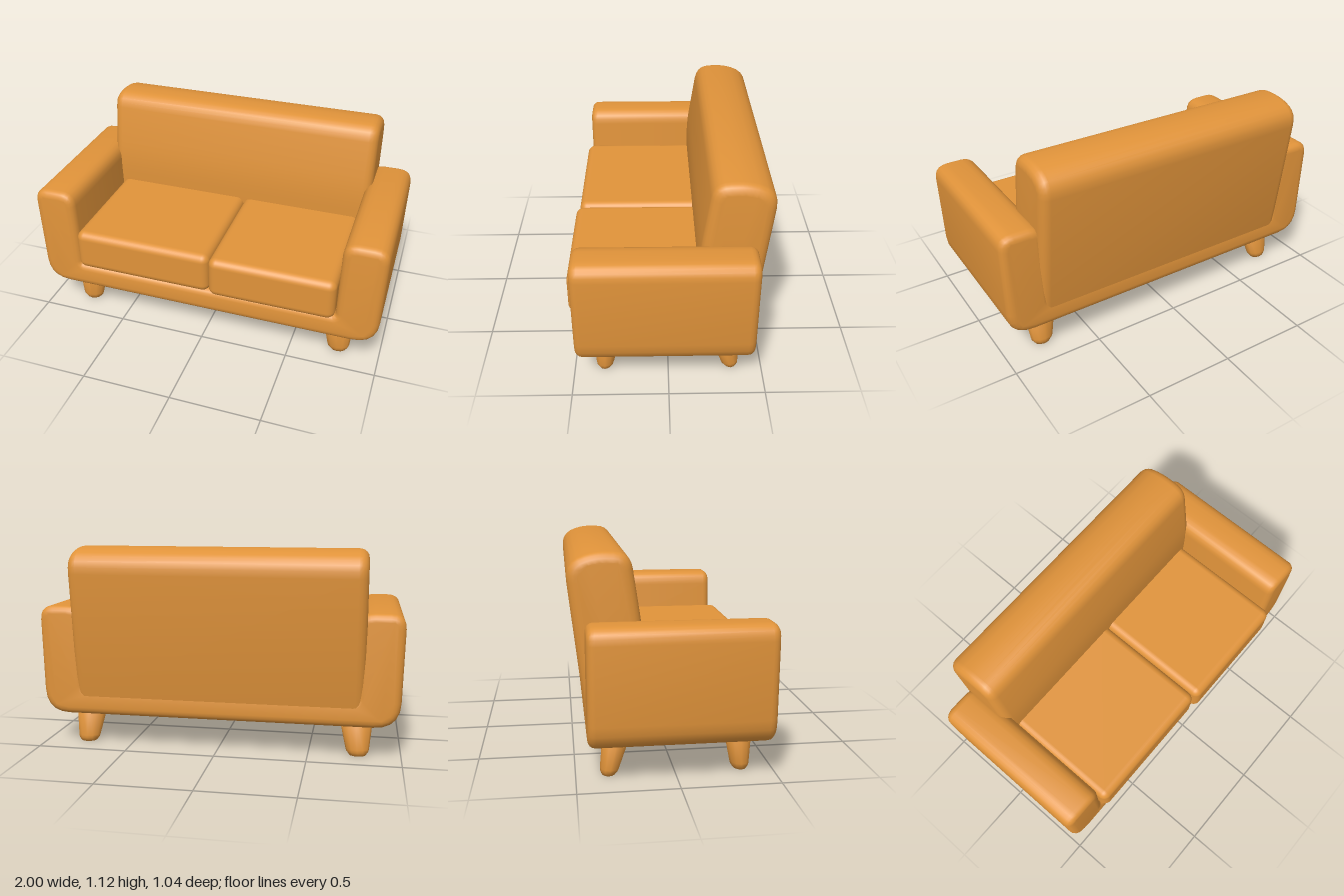
import * as THREE from 'three';
import { mergeVertices, toCreasedNormals } from 'three/addons/utils/BufferGeometryUtils.js';
import { RoundedBoxGeometry } from 'three/addons/geometries/RoundedBoxGeometry.js';

// Closed shape from [x, y, cornerCut] points with softened corners
function softShape(points) {
  const shape = new THREE.Shape();
  const n = points.length;
  points.forEach(([x, y, r], i) => {
    const p = new THREE.Vector2(x, y);
    const toward = (q) => p.clone().add(new THREE.Vector2(q[0] - x, q[1] - y).setLength(r));
    const a = toward(points[(i + n - 1) % n]);
    const b = toward(points[(i + 1) % n]);
    if (i === 0) shape.moveTo(a.x, a.y);
    else shape.lineTo(a.x, a.y);
    shape.quadraticCurveTo(x, y, b.x, b.y);
  });
  shape.closePath();
  return shape;
}

// Extrusion of full length `length`, centred on z, with rounded ends
function softExtrude(shape, length, bevel) {
  const g = new THREE.ExtrudeGeometry(shape, {
    depth: length - 2 * bevel, curveSegments: 5, bevelEnabled: true,
    bevelThickness: bevel, bevelSize: bevel, bevelOffset: -bevel, bevelSegments: 4,
  });
  g.translate(0, 0, -length / 2 + bevel);
  g.deleteAttribute('normal');
  g.deleteAttribute('uv');
  return toCreasedNormals(mergeVertices(g, 1e-4), 0.7);
}

export function createModel() {
  const sofa = new THREE.Group();
  sofa.name = 'sofa';
  const upholstery = new THREE.MeshStandardMaterial({ color: 0xe0933a });
  upholstery.name = 'orange upholstery';

  const add = (name, geometry) => {
    const mesh = new THREE.Mesh(geometry, upholstery);
    mesh.name = name;
    sofa.add(mesh);
    return mesh;
  };

  // Base and both arms: one U profile run front to back
  const frame = softExtrude(softShape([
    [-0.985, 0.178, 0.14], [0.985, 0.178, 0.14],
    [1, 0.79, 0.08], [0.76, 0.79, 0.08],
    [0.75, 0.325, 0.02], [-0.75, 0.325, 0.02],
    [-0.76, 0.79, 0.08], [-1, 0.79, 0.08],
  ]), 0.92, 0.04);
  frame.translate(0, 0, 0.018);
  add('baseAndArms', frame);

  // Leaning backrest: side profile run across the width
  const back = softExtrude(softShape([
    [-0.43, 0.185, 0.09], [-0.16, 0.21, 0.08],
    [-0.155, 0.72, 0.1], [-0.215, 1.115, 0.08],
    [-0.38, 1.12, 0.05], [-0.533, 1.075, 0.1],
  ]), 1.6, 0.05);
  back.rotateY(-Math.PI / 2);
  add('backrest', back);

  // Two seat cushions
  const cushions = [
    ['rightSeatCushion', -0.752, 0.045, 0.505],
    ['leftSeatCushion', 0.045, 0.752, 0.522],
  ];
  for (const [name, x0, x1, front] of cushions) {
    const rear = -0.22;
    const g = new RoundedBoxGeometry(x1 - x0, 0.24, front - rear, 4, 0.045);
    add(name, g).position.set((x0 + x1) / 2, 0.447, (front + rear) / 2);
  }

  // Tapered, splayed legs
  const profile = [[0, 0], [0.045, 0], [0.06, 0.02], [0.064, 0.035], [0.092, 0.2], [0, 0.2]]
    .map(([r, y]) => new THREE.Vector2(r, y));
  const legs = [
    ['frontLeg', 0.34, 0.328],
    ['backLeg', -0.335, -0.29],
  ];
  for (const side of [-1, 1]) {
    for (const [name, footZ, topZ] of legs) {
      const g = new THREE.LatheGeometry(profile, 12);
      const pos = g.attributes.position;
      for (let i = 0; i < pos.count; i++) {
        const t = pos.getY(i) / 0.2;
        pos.setX(i, pos.getX(i) + side * (0.768 - 0.013 * t));
        pos.setZ(i, pos.getZ(i) * 0.78 + footZ + (topZ - footZ) * t);
      }
      g.computeVertexNormals();
      add((side > 0 ? 'left' : 'right') + name[0].toUpperCase() + name.slice(1), g);
    }
  }
  return sofa;
}
